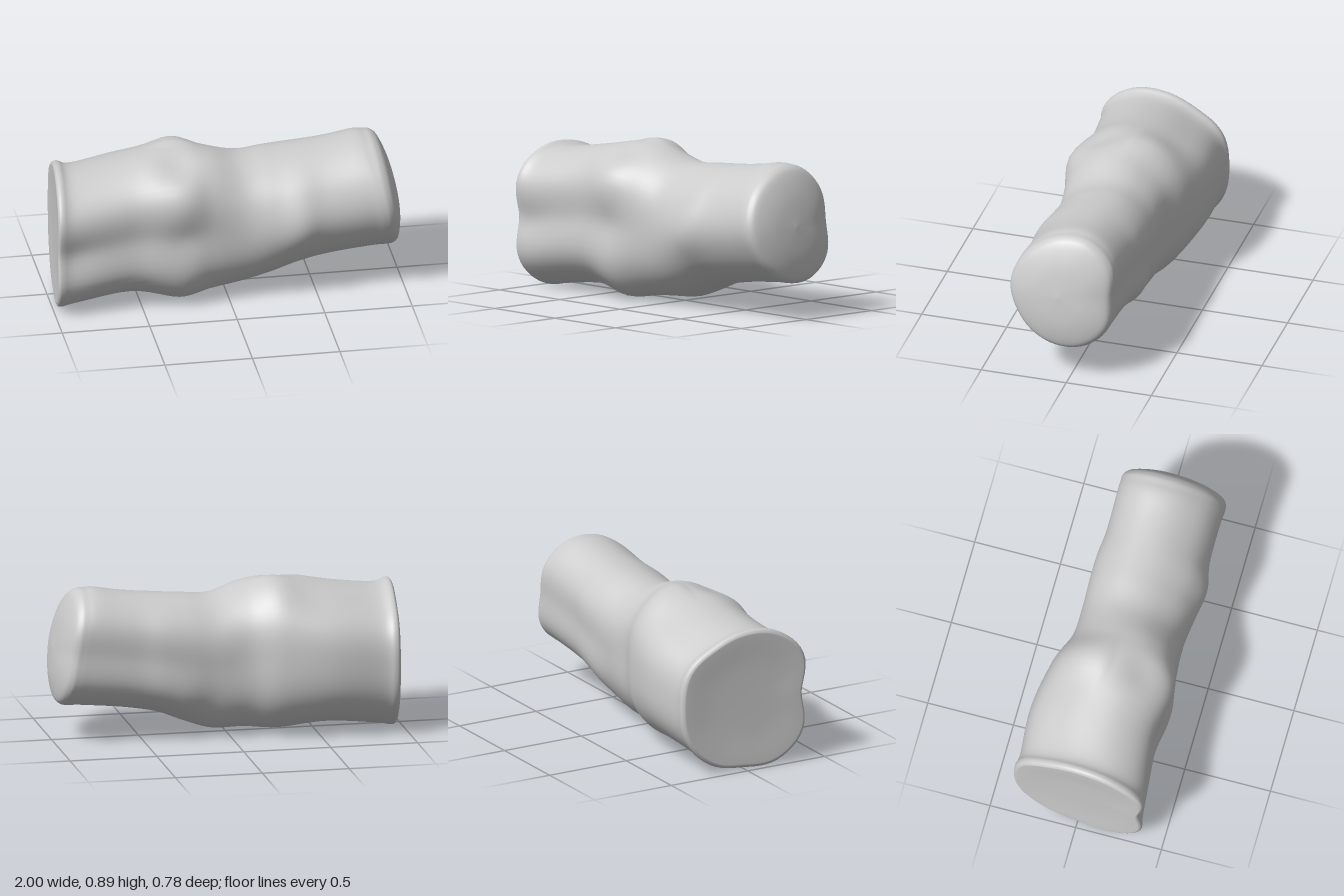
import * as THREE from 'three';

// Silhouette along the trunk: x, top, bottom, front, back
const body = [
  [-0.935, 0.82, 0.015, 0.385, -0.385],
  [-0.85, 0.80, 0.03, 0.37, -0.375],
  [-0.55, 0.845, 0.06, 0.335, -0.388],
  [-0.28, 0.90, 0.025, 0.375, -0.34],
  [-0.1, 0.865, 0.035, 0.345, -0.27],
  [0.08, 0.81, 0.05, 0.335, -0.26],
  [0.25, 0.815, 0.09, 0.355, -0.26],
  [0.4, 0.825, 0.145, 0.37, -0.255],
  [0.55, 0.84, 0.175, 0.35, -0.24],
  [0.78, 0.87, 0.205, 0.35, -0.24],
  [0.86, 0.87, 0.21, 0.355, -0.24],
];

// Cross-section outlines relative to an ellipse, from the top round the front, bottom and back
const largeOutline = [1, 1.09, 1.13, 0.98, 1.13, 1.11, 1, 1.04, 1.04, 1, 1.03, 0.96];
const smallOutline = [1, 0.95, 0.98, 1.02, 0.97, 0.96, 0.99, 1.06, 1.1, 1, 1.11, 1.09];

// Knots and dents: x, angle in degrees, height
const knots = [
  [-0.88, 95, -0.06],
  [-0.28, 28, -0.11],
  [-0.28, 62, 0.03],
  [-0.26, 95, -0.08],
  [-0.26, 145, 0.03],
  [-0.28, 330, 0.07],
  [0.1, 195, 0.04],
  [0.12, 240, -0.06],
  [0.4, 94, 0.03],
];

// A cap repeats an end section in shrinking rings: x, scale
const cap = (end, rings) => rings.map(([x, s]) => [x, ...end.slice(1), s]);
const sections = [
  ...cap(body[0], [[-0.955, 0], [-0.957, 0.5], [-0.965, 0.88], [-0.962, 0.97]]),
  ...body.map((s) => [...s, 1]),
  ...cap(body[body.length - 1], [[0.905, 0.98], [0.94, 0.86], [0.972, 0.5], [0.985, 0]]),
];

// Smooth curve through four neighbouring values
function spline(a, b, c, d, t) {
  const m0 = (c - a) / 2, m1 = (d - b) / 2;
  return b + t * (m0 + t * (3 * (c - b) - 2 * m0 - m1 + t * (2 * (b - c) + m0 + m1)));
}

// Outline multiplier at a place on the trunk, knots included
function outline(x, angle) {
  const f = (angle / 360) * 12, k = Math.floor(f);
  const mix = THREE.MathUtils.smoothstep(x, -0.45, 0.4);
  const value = (i) => THREE.MathUtils.lerp(largeOutline[i % 12], smallOutline[i % 12], mix);
  let r = spline(value(k + 11), value(k), value(k + 1), value(k + 2), f - k);
  for (const [kx, ka, height] of knots) {
    r += height * Math.exp(-(((x - kx) / 0.12) ** 2) - ((angle - ka) / 22) ** 2);
  }
  return r;
}

function trunkGeometry(sides = 72, steps = 6) {
  const last = sections.length - 1, rows = last * steps;
  const at = (i) => sections[THREE.MathUtils.clamp(i, 0, last)];
  const positions = [], indices = [];
  for (let row = 0; row <= rows; row++) {
    const i = Math.min(Math.floor(row / steps), last - 1), t = row / steps - i;
    const [x, top, bottom, front, back, scale] = at(i).map((_, k) =>
      spline(at(i - 1)[k], at(i)[k], at(i + 1)[k], at(i + 2)[k], t));
    // the large end is cut askew in depth, the small end in height
    const leanZ = -0.09 * (1 - THREE.MathUtils.smoothstep(x, -0.95, -0.6));
    const leanY = -0.16 * THREE.MathUtils.smoothstep(x, 0.6, 0.86);
    for (let j = 0; j < sides; j++) {
      const angle = (j / sides) * 360, a = THREE.MathUtils.degToRad(angle);
      const r = Math.max(0, scale) * outline(x, angle) / 2;
      const dy = r * (top - bottom) * Math.cos(a), dz = r * (front - back) * Math.sin(a);
      positions.push(x + leanY * dy + leanZ * dz, (top + bottom) / 2 + dy, (front + back) / 2 + dz);
      if (row < rows) {
        const p = row * sides + j, q = row * sides + ((j + 1) % sides);
        indices.push(p, q, p + sides, q, q + sides, p + sides);
      }
    }
  }
  const geometry = new THREE.BufferGeometry();
  geometry.setAttribute('position', new THREE.Float32BufferAttribute(positions, 3));
  geometry.setIndex(indices);
  geometry.computeVertexNormals();
  return geometry;
}

export function createModel() {
  const group = new THREE.Group();
  group.name = 'log';
  const trunk = new THREE.Mesh(trunkGeometry(), new THREE.MeshStandardMaterial({ color: 0xcccccc }));
  trunk.name = 'trunk';
  group.add(trunk);
  return group;
}
